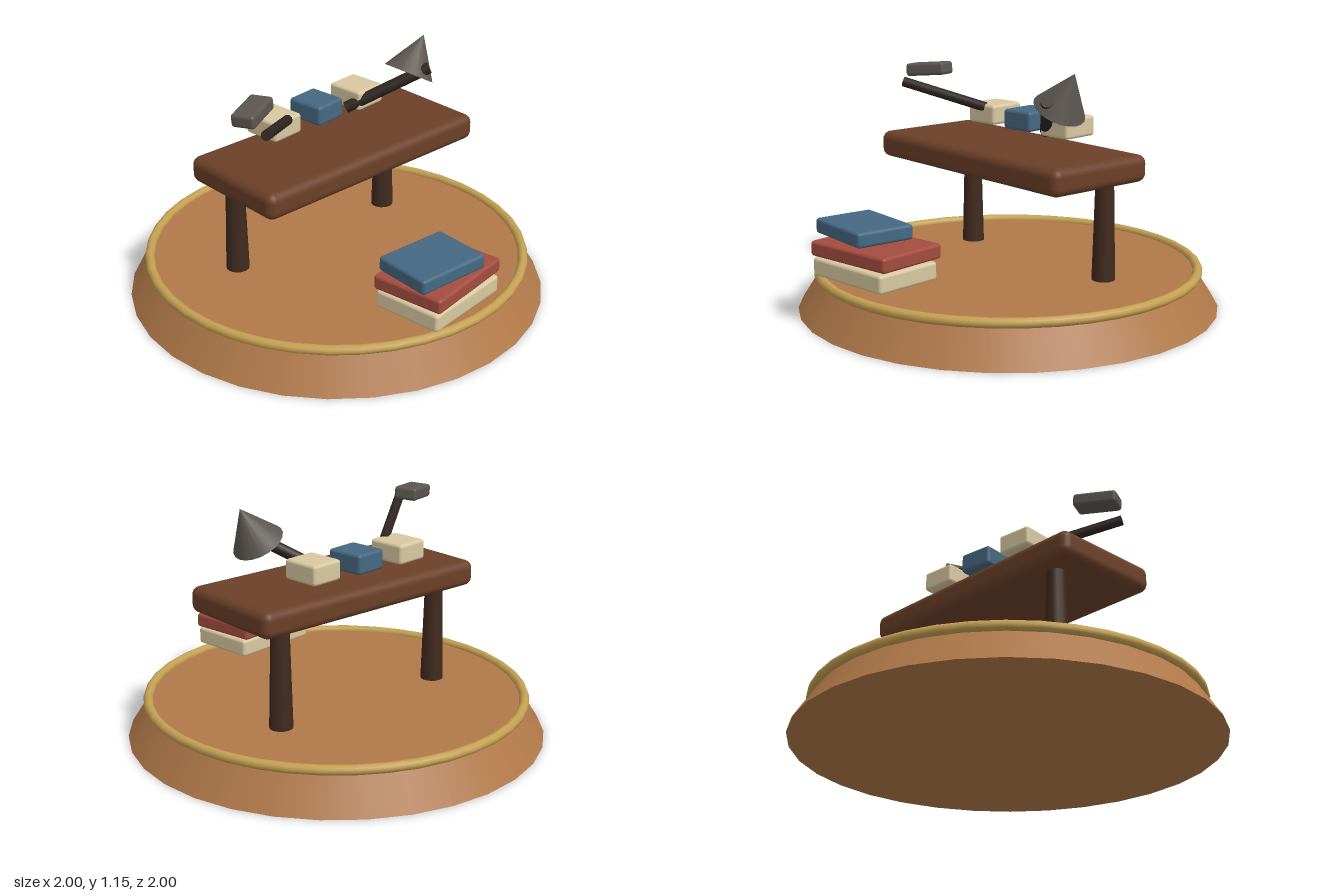
import * as THREE from 'three';
import { RoundedBoxGeometry } from 'three/addons/geometries/RoundedBoxGeometry.js';

const paint = (color) => new THREE.MeshStandardMaterial({ color });
const wood = paint(0xb07848), brass = paint(0xc4a052), deskWood = paint(0x6b4028);
const darkWood = paint(0x402a1e), dark = paint(0x2e2520), grey = paint(0x5c5650);
const cream = paint(0xd8c8a0), blue = paint(0x456882), red = paint(0xa44c40);

export function createModel() {
  const model = new THREE.Group();

  const add = (name, geometry, material, x, y, z, parent = model) => {
    const mesh = new THREE.Mesh(geometry, material);
    mesh.name = name;
    mesh.position.set(x, y, z);
    parent.add(mesh);
    return mesh;
  };

  // Box with softened edges, turned about the vertical
  const block = (name, size, radius, material, position, turn = 0, parent = model) => {
    const mesh = add(name, new RoundedBoxGeometry(...size, 3, radius), material, ...position, parent);
    mesh.rotation.y = turn;
    return mesh;
  };

  // Straight round rod between two points
  const rod = (name, from, to, radius, parent) => {
    const a = new THREE.Vector3(...from), b = new THREE.Vector3(...to);
    const mid = a.clone().add(b).multiplyScalar(0.5);
    const mesh = add(name, new THREE.CylinderGeometry(radius, radius, a.distanceTo(b), 10), dark, mid.x, mid.y, mid.z, parent);
    mesh.quaternion.setFromUnitVectors(new THREE.Vector3(0, 1, 0), b.sub(a).normalize());
  };

  const group = (name) => {
    const g = new THREE.Group();
    g.name = name;
    model.add(g);
    return g;
  };

  // Sloping round base and its trim ring
  add('base', new THREE.CylinderGeometry(0.885, 1, 0.18, 32), wood, 0, 0.09, 0);
  const ring = add('trimRing', new THREE.TorusGeometry(0.9, 0.023, 10, 40), brass, 0, 0.182, 0);
  ring.rotation.x = Math.PI / 2;

  // Desk on two tapered legs
  block('deskTop', [1.285, 0.125, 0.565], 0.04, deskWood, [0, 0.713, 0]);
  for (const [name, side] of [['rightLeg', -1], ['leftLeg', 1]]) {
    add(name, new THREE.CylinderGeometry(0.042, 0.055, 0.49, 14), darkWood, side * 0.477, 0.425, -0.17);
  }

  // Three small blocks above the desk
  const row = group('deskBlocks');
  block('rightBlock', [0.172, 0.095, 0.19], 0.015, cream, [-0.263, 0.873, -0.138], 0.09, row);
  block('middleBlock', [0.168, 0.095, 0.19], 0.015, blue, [-0.002, 0.873, -0.137], 0.11, row);
  block('leftBlock', [0.17, 0.095, 0.19], 0.015, cream, [0.258, 0.873, -0.138], 0.08, row);

  // Book pile at the front
  const pile = group('bookPile');
  block('bottomBook', [0.459, 0.085, 0.337], 0.015, cream, [-0.062, 0.28, 0.728], 0.11, pile);
  block('middleBook', [0.475, 0.07, 0.355], 0.015, red, [-0.06, 0.367, 0.722], 0.15, pile);
  block('topBook', [0.37, 0.07, 0.287], 0.015, blue, [-0.12, 0.455, 0.741], -0.05, pile);

  // Arm with a small tilted slab
  const slabArm = group('slabArm');
  rod('slabRod', [-0.575, 1.016, 0.183], [-0.245, 0.905, -0.063], 0.024, slabArm);
  const slab = block('slab', [0.208, 0.062, 0.112], 0.015, grey, [-0.54, 1.073, 0.052], 0.43, slabArm);
  slab.rotation.order = 'ZYX';
  slab.rotation.z = 0.1;

  // Lamp with a leaning cone shade
  const lamp = group('lamp');
  rod('lampArm', [0.155, 0.835, -0.1], [0.447, 1.035, 0.158], 0.028, lamp);
  const shade = add('lampShade', new THREE.ConeGeometry(0.122, 0.195, 20), grey, 0.464, 1.07, 0.056, lamp);
  shade.rotation.z = -0.52;

  return model;
}
